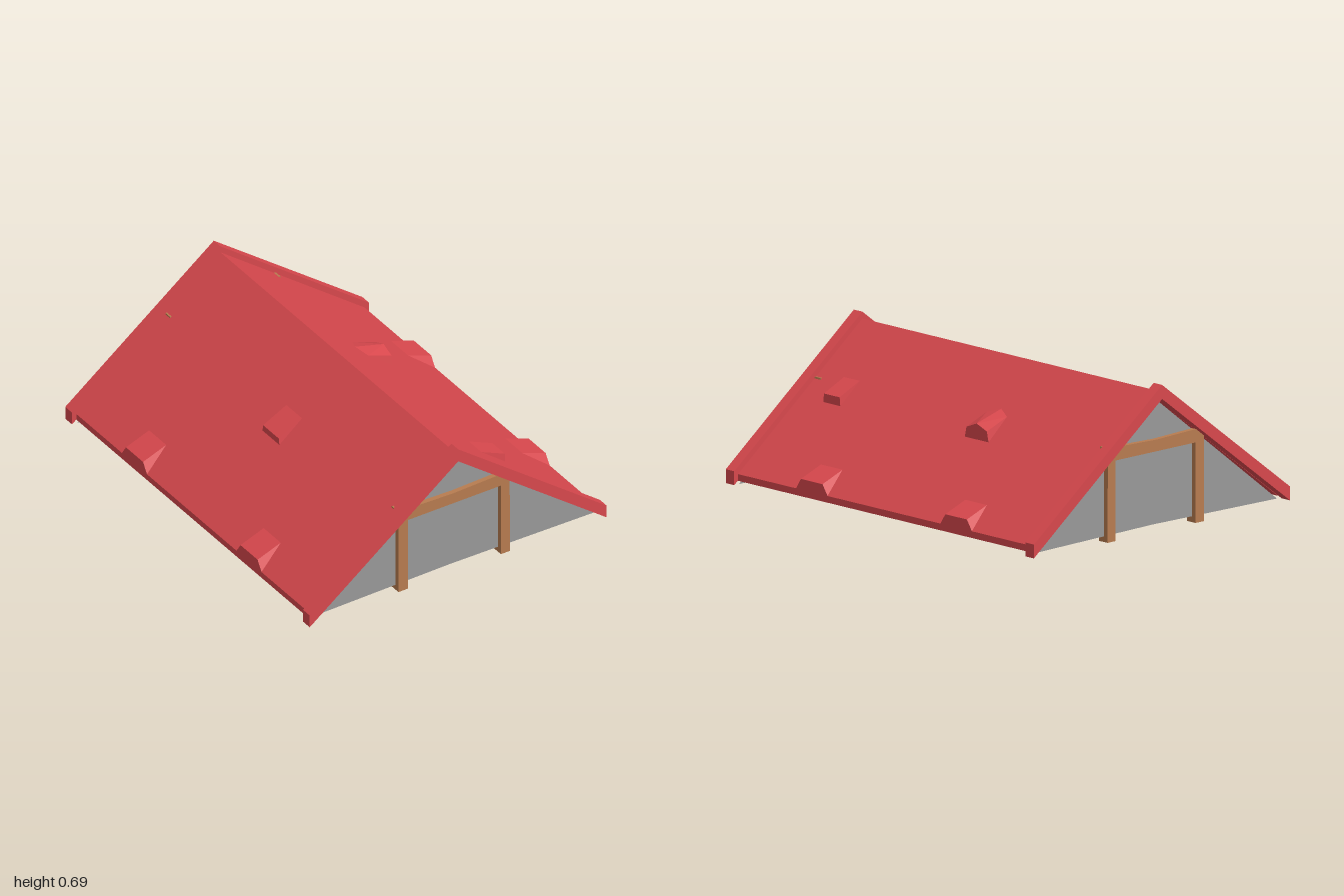
import * as THREE from 'three';
import { ConvexGeometry } from 'three/addons/geometries/ConvexGeometry.js';

const mat = (color, side = THREE.FrontSide) =>
  new THREE.MeshStandardMaterial({ color, flatShading: true, side });

// Closed outline in x/y extruded along z from z0 to z1
function extrude(points, z0, z1) {
  const shape = new THREE.Shape(points.map(([x, y]) => new THREE.Vector2(x, y)));
  return new THREE.ExtrudeGeometry(shape, { depth: z1 - z0, bevelEnabled: false }).translate(0, 0, z0);
}

// Inverted V band: outer/inner ridge heights, half width, outer/inner eave heights
const chevron = (outer, inner, half, eaveOuter, eaveInner) => [
  [-half, eaveInner], [0, inner], [half, eaveInner],
  [half, eaveOuter], [0, outer], [-half, eaveOuter],
];

export function createModel() {
  const group = new THREE.Group();
  const red = mat(0xd8484d), wood = mat(0xb87c50), grey = mat(0x999999, THREE.DoubleSide);
  const add = (name, geometry, material) => {
    const mesh = new THREE.Mesh(geometry, material);
    mesh.name = name;
    group.add(mesh);
  };

  // Roof slopes
  add('roof', extrude(chevron(0.655, 0.622, 0.776, 0.065, 0.034), -0.945, 0.945), red);

  // Gable ends: barge boards, thin wall and timber frame
  const wallShape = new THREE.Shape([[-0.777, 0.02], [0, 0.03], [0.777, 0.02], [0, 0.622]]
    .map(([x, y]) => new THREE.Vector2(x, y)));
  const frame = [
    [-0.297, 0], [-0.245, 0], [-0.245, 0.373], [0.255, 0.373], [0.255, 0],
    [0.304, 0], [0.302, 0.41], [0.297, 0.436], [0, 0.427], [-0.297, 0.436],
  ];
  for (const [end, s] of [['front', 1], ['back', -1]]) {
    const span = (a, b) => (s > 0 ? [a, b] : [-b, -a]);
    add(end + 'BargeBoards', extrude(chevron(0.687, 0.622, 0.8, 0.082, 0.018), ...span(0.945, 1)), red);
    add(end + 'GableWall', new THREE.ShapeGeometry(wallShape).translate(0, 0, s * 0.938), grey);
    add(end + 'TimberFrame', extrude(frame, ...span(0.907, 0.962)), wood);
  }

  // Raised tile: vertical front face and a top running back into the slope.
  // base/top are half widths; peak adds a central ridge.
  const tile = (name, side, z, { x, base, top, y0, y1, backX, peak }) => {
    const roofY = (px) => 0.655 - 0.761 * px;
    const pts = [];
    for (const m of [-1, 1]) {
      pts.push([x, y0, m * base], [x, y1, m * top], [backX, roofY(backX), m * top]);
    }
    if (peak) pts.push([x, peak, 0], [0.234, roofY(0.234), 0]);
    add(name, new ConvexGeometry(pts.map(([px, py, pz]) => new THREE.Vector3(side * px, py, z + pz))), red);
  };

  // Raised tiles along both eaves
  const eave = { x: 0.776, base: 0.103, top: 0.07, y0: 0.064, y1: 0.114, backX: 0.65 };
  for (const side of [1, -1]) {
    for (const z of [0.467, -0.47]) tile('eaveTile', side, z, eave);
  }

  // Raised tiles in the middle of the slopes
  const mid = { x: 0.388, y0: 0.36, backX: 0.262 };
  tile('flatTile', 1, 0.74, { ...mid, base: 0.055, top: 0.051, y1: 0.4 });
  tile('peakedTile', 1, -0.2, { ...mid, base: 0.077, top: 0.066, y1: 0.408, peak: 0.434 });
  tile('leftTile', -1, 0.057, { ...mid, base: 0.069, top: 0.064, y1: 0.392 });

  return group;
}
